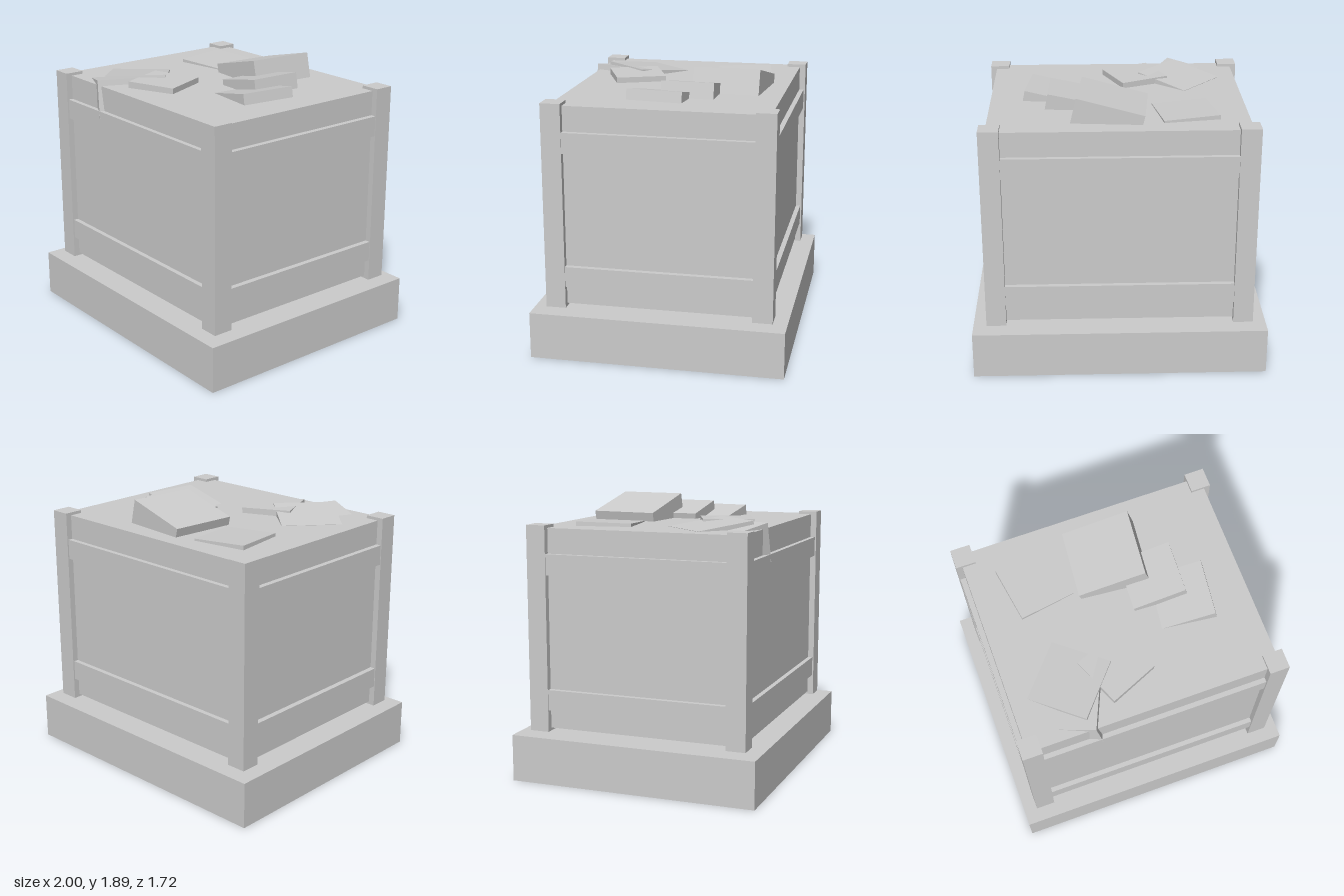
import * as THREE from 'three';

const material = new THREE.MeshStandardMaterial({ color: 0xcccccc, flatShading: true });

// Box spanning the given centre and size
function box(name, parent, w, h, d, x, y, z) {
  const mesh = new THREE.Mesh(new THREE.BoxGeometry(w, h, d), material);
  mesh.name = name;
  mesh.position.set(x, y, z);
  parent.add(mesh);
  return mesh;
}

// Half-buried tilted block, placed by the centre of its top face
function block(name, parent, size, [x, y, z], yaw, roll, pitch = 0) {
  const thickness = 0.265;
  const mesh = box(name, parent, size, thickness, size, x, y, z);
  mesh.geometry.translate(0, -thickness / 2, 0);
  mesh.rotation.set(pitch, yaw, roll, 'YXZ');
}

export function createModel() {
  const model = new THREE.Group();
  model.name = 'crate';

  // Plinth and the crate body floating just above it
  box('base', model, 2, 0.32, 1.72, 0, 0.16, 0);
  box('body', model, 1.73, 1.36, 1.45, 0, 1.04, 0);

  // Corner posts
  const posts = new THREE.Group();
  posts.name = 'cornerPosts';
  for (const sx of [-1, 1])
    for (const sz of [-1, 1])
      box('cornerPost', posts, 0.135, 1.4, 0.135, sx * 0.84, 1.04, sz * 0.7);
  model.add(posts);

  // Lower and upper rails on all four sides
  const rails = new THREE.Group();
  rails.name = 'rails';
  for (const y of [0.56, 1.48])
    for (const s of [-1, 1]) {
      box('longRail', rails, 1.6, 0.14, 0.06, 0, y, s * 0.728);
      box('shortRail', rails, 0.06, 0.14, 1.32, s * 0.872, y, 0);
    }
  model.add(rails);

  // Rubble blocks sunk into the top
  const rubble = new THREE.Group();
  rubble.name = 'rubble';
  block('largeBlock', rubble, 0.462, [0.035, 1.835, -0.36], -0.09, 0.24);
  block('middleBlock', rubble, 0.36, [0.285, 1.793, -0.12], -0.045, 0.195);
  block('sideBlock', rubble, 0.385, [0.42, 1.754, 0.06], -0.117, 0.2);
  block('backBlock', rubble, 0.38, [-0.45, 1.738, -0.36], 0.16, -0.04, 0.02);
  block('frontBlock', rubble, 0.416, [-0.46, 1.748, 0.365], -0.72, 0.125);
  block('flatBlock', rubble, 0.35, [-0.143, 1.762, 0.375], 0.4, -0.02);
  block('edgeBlock', rubble, 0.34, [-0.494, 1.733, 0.521], -0.41, 0.16);
  model.add(rubble);

  return model;
}
